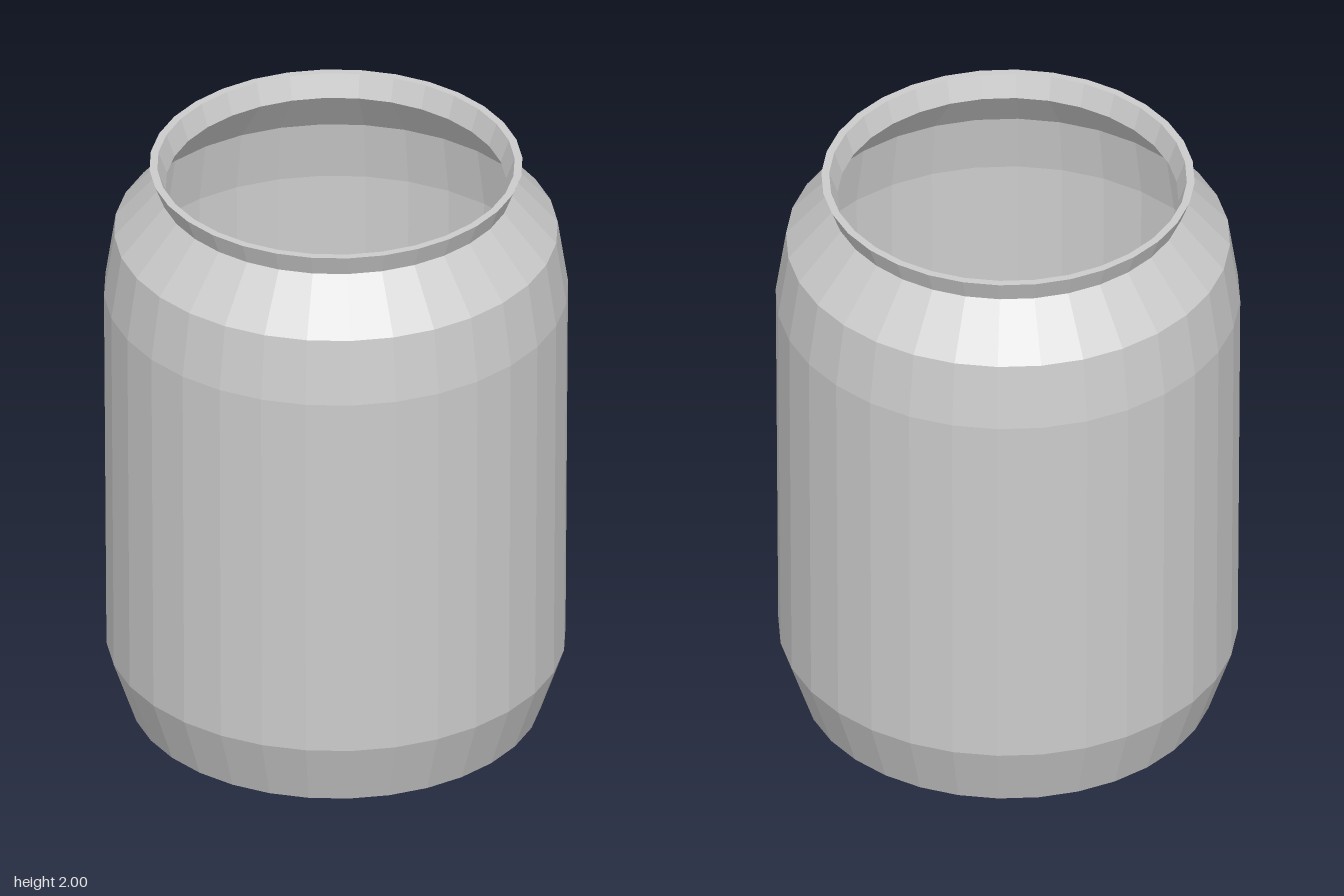
import * as THREE from 'three';

const SEGMENTS = 32;

export function createModel() {
  const group = new THREE.Group();
  group.name = 'jar';

  const material = new THREE.MeshStandardMaterial({ color: 0xcccccc, flatShading: true });

  // Outer wall, from the base centre up to the flared lip
  const outer = [
    [0, 0], [0.41, 0], [0.66, 0.035], [0.735, 0.255], [0.743, 1.54],
    [0.71, 1.76], [0.568, 1.925], [0.597, 2],
  ];
  // Inner wall, from the lip back down to the floor centre
  const inner = [
    [0.572, 2], [0.545, 1.925], [0.685, 1.745], [0.718, 1.535],
    [0.71, 0.26], [0.64, 0.06], [0.41, 0.025], [0, 0.025],
  ];

  const profile = [...outer, ...inner].map(([r, y]) => new THREE.Vector2(r, y));
  const shell = new THREE.Mesh(new THREE.LatheGeometry(profile, SEGMENTS), material);
  shell.name = 'jarShell';
  group.add(shell);

  return group;
}
